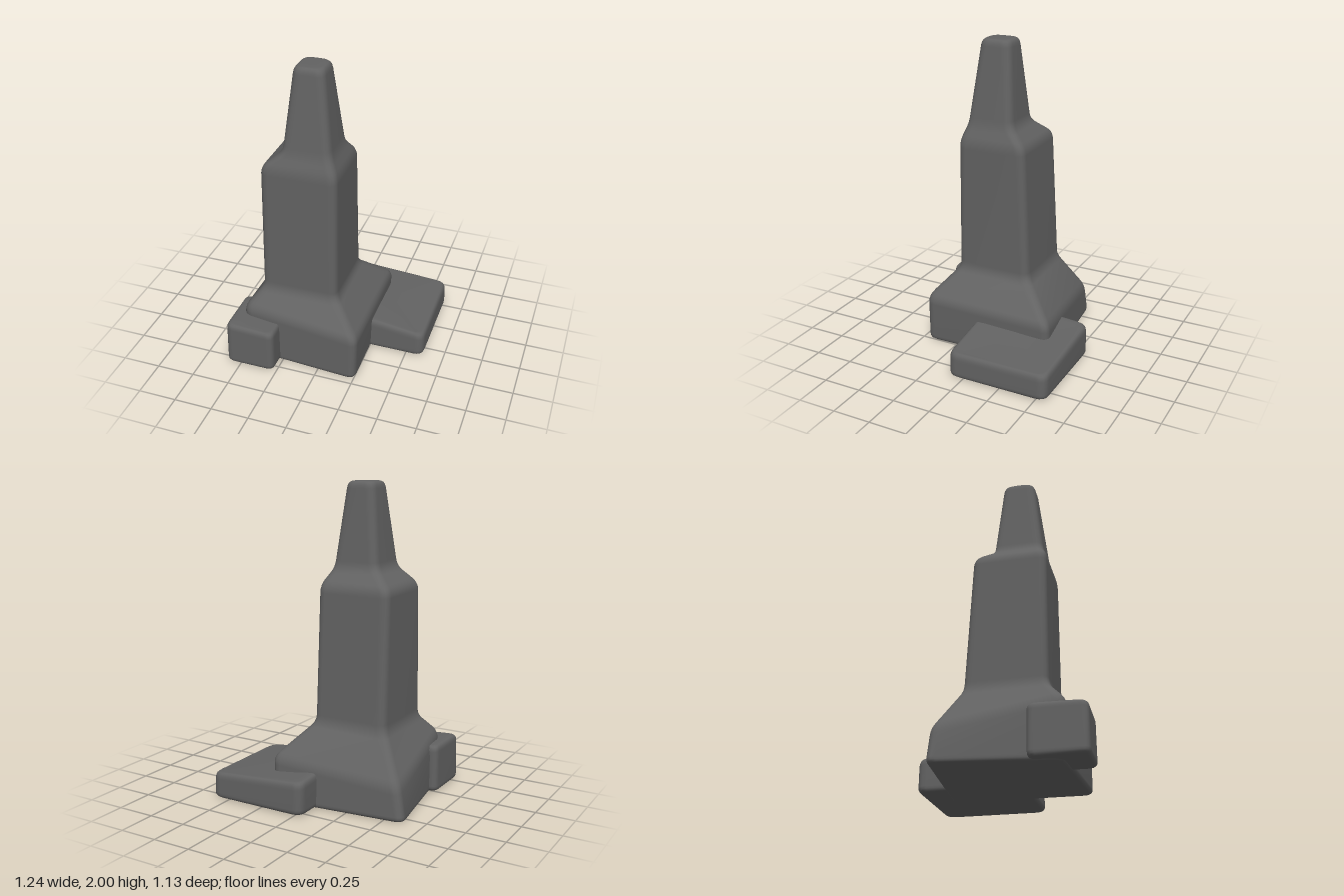
import * as THREE from 'three';

const V = (x, y, z) => new THREE.Vector3(x, y, z);
const mix = (a, b, t) => a.clone().lerp(b, t);

// Quadratic rounding of the corner b between a and c, reaching at most r along each side
function roundCorner(a, b, c, r, steps) {
  const p = mix(b, a, Math.min(0.45, r / (a.distanceTo(b) || 1)));
  const q = mix(b, c, Math.min(0.45, r / (c.distanceTo(b) || 1)));
  const pts = [];
  for (let i = 0; i <= steps; i++) {
    const t = i / steps;
    pts.push(mix(mix(p, b, t), mix(b, q, t), t));
  }
  return pts;
}

// Rectangle section: back left, back right, front right, front left
const rect = (y, x0, x1, z0, z1) => [V(x0, y, z0), V(x1, y, z0), V(x1, y, z1), V(x0, y, z1)];

// Section pulled toward its middle, for the flat end caps
function inset(section, d) {
  const c = V(0, 0, 0);
  section.forEach((p) => c.addScaledVector(p, 0.25));
  return section.map((p) => V(p.x - Math.sign(p.x - c.x) * d, p.y, p.z - Math.sign(p.z - c.z) * d));
}

// Skin through four-cornered sections from bottom to top, softening every edge
function softLoft(name, sections, edgeRadius, foldRadius, material) {
  const steps = 4;
  const quads = [inset(sections[0], 0.06), ...sections, inset(sections.at(-1), 0.06)];
  const columns = [0, 1, 2, 3].map((k) => {
    const col = [quads[0][k]];
    for (let j = 1; j < quads.length - 1; j++) {
      const r = j === 1 ? 0.035 : foldRadius;
      col.push(...roundCorner(quads[j - 1][k], quads[j][k], quads[j + 1][k], r, steps));
    }
    col.push(quads.at(-1)[k]);
    return col;
  });
  const rings = columns[0].map((_, j) => {
    const q = columns.map((c) => c[j]);
    return q.flatMap((p, k) => roundCorner(q[(k + 3) % 4], p, q[(k + 1) % 4], edgeRadius, steps));
  });
  const n = rings[0].length;
  const points = rings.flat();
  const index = [];
  for (let j = 0; j < rings.length - 1; j++) {
    for (let i = 0; i < n; i++) {
      const a = j * n + i, b = j * n + (i + 1) % n;
      index.push(a, a + n, b, b, a + n, b + n);
    }
  }
  // End caps
  const last = (rings.length - 1) * n;
  const centre = (ring) => ring.reduce((s, p) => s.addScaledVector(p, 1 / n), V(0, 0, 0));
  points.push(centre(rings[0]), centre(rings.at(-1)));
  for (let i = 0; i < n; i++) {
    const k = (i + 1) % n;
    index.push(last + n, i, k, last + n + 1, last + k, last + i);
  }
  const geometry = new THREE.BufferGeometry().setFromPoints(points);
  geometry.setIndex(index);
  geometry.computeVertexNormals();
  const mesh = new THREE.Mesh(geometry, material);
  mesh.name = name;
  return mesh;
}

export function createModel() {
  const group = new THREE.Group();
  group.name = 'tower';
  const darkGrey = new THREE.MeshStandardMaterial({ color: 0x626262 });

  // Skewed base, shaft, shoulder and tapering spire in one skin
  group.add(softLoft('towerBody', [
    [V(-0.635, 0, -0.335), V(0.25, 0, -0.42), V(0.26, 0, 0.465), V(-0.51, 0, 0.415)],
    [V(-0.592, 0.21, -0.325), V(0.26, 0.29, -0.415), V(0.265, 0.31, 0.465), V(-0.515, 0.37, 0.42)],
    rect(0.49, -0.42, 0.085, -0.19, 0.315),
    rect(1.36, -0.41, 0.08, -0.145, 0.31),
    rect(1.465, -0.28, 0.035, -0.045, 0.27),
    rect(2, -0.22, -0.03, 0.005, 0.205),
  ], 0.055, 0.045, darkGrey));

  // Low wing behind, its roof falling outward
  group.add(softLoft('backWing', [
    rect(0.004, -0.055, 0.618, -0.568, 0.102),
    [V(-0.055, 0.215, -0.566), V(0.615, 0.172, -0.566), V(0.615, 0.172, 0.1), V(-0.055, 0.26, 0.1)],
  ], 0.06, 0.045, darkGrey));

  // Small block at the front corner
  group.add(softLoft('cornerBlock', [
    rect(0.008, -0.592, -0.265, 0.215, 0.564),
    [V(-0.587, 0.317, 0.215), V(-0.265, 0.302, 0.215), V(-0.265, 0.297, 0.562), V(-0.587, 0.314, 0.562)],
  ], 0.045, 0.04, darkGrey));

  return group;
}
